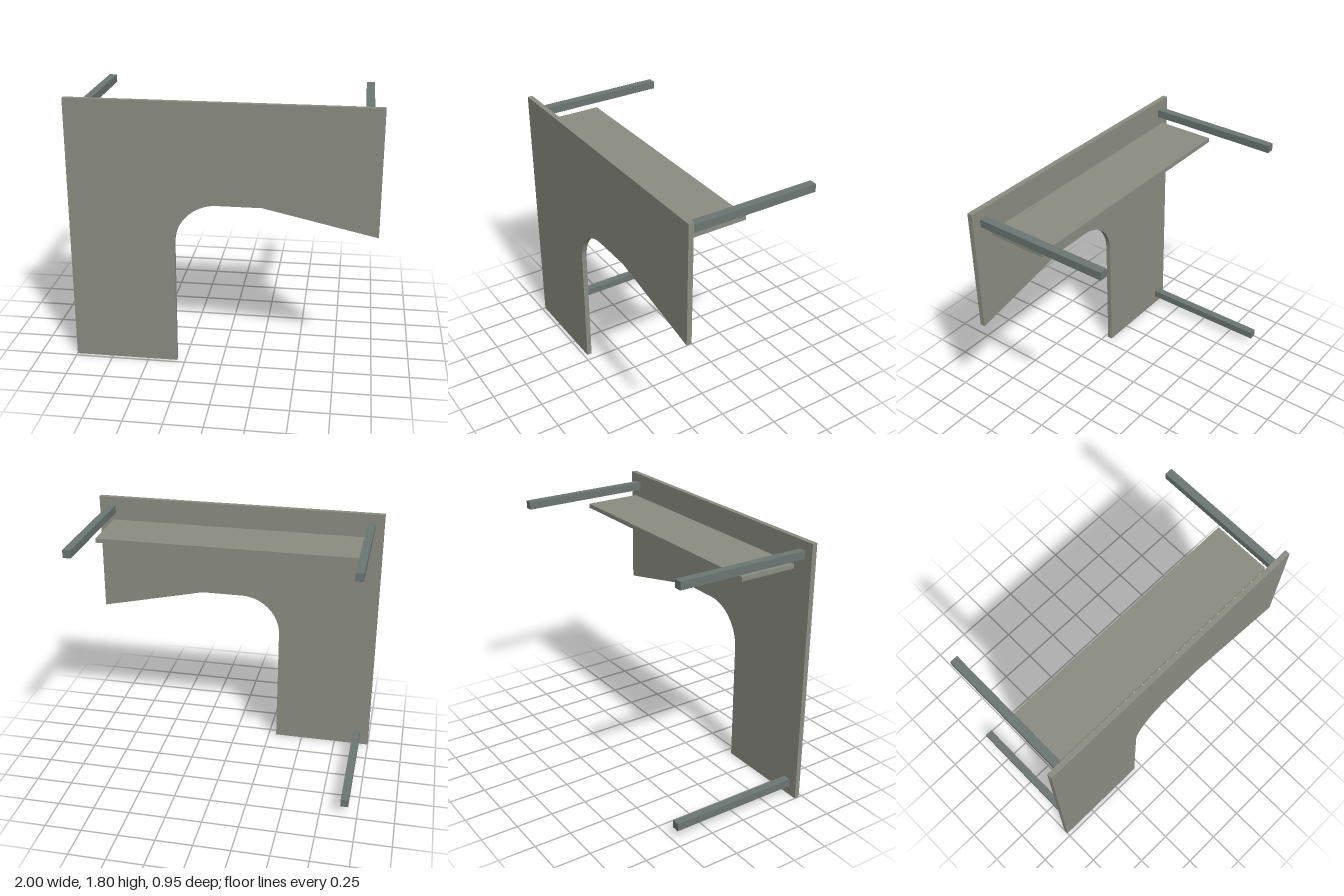
import * as THREE from 'three';

const panelMat = new THREE.MeshStandardMaterial({ color: 0x8b8d82 });
const barMat = new THREE.MeshStandardMaterial({ color: 0x6b7673 });

function box(name, mat, [w, h, d], [x, y, z]) {
  const mesh = new THREE.Mesh(new THREE.BoxGeometry(w, h, d), mat);
  mesh.name = name;
  mesh.position.set(x, y, z);
  return mesh;
}

export function createModel() {
  const group = new THREE.Group();
  group.name = 'panelWithShelf';

  // Front panel: full-height leg on one side, rounded and sloping cut-out on the other
  const outline = new THREE.Shape();
  outline.moveTo(-1, 0);
  outline.lineTo(-0.305, 0);
  outline.lineTo(-0.305, 0.85);
  outline.absarc(-0.025, 0.85, 0.28, Math.PI, Math.PI / 2, true);
  outline.lineTo(0.26, 1.13);
  outline.lineTo(1, 0.965);
  outline.lineTo(1, 1.8);
  outline.lineTo(-1, 1.8);
  outline.closePath();
  const panelGeo = new THREE.ExtrudeGeometry(outline, { depth: 0.035, bevelEnabled: false, curveSegments: 16 });
  panelGeo.translate(0, 0, 0.44);
  const panel = new THREE.Mesh(panelGeo, panelMat);
  panel.name = 'frontPanel';
  group.add(panel);

  // Shelf below the upper bars
  group.add(box('shelf', panelMat, [1.78, 0.03, 0.4], [0, 1.635, 0.2]));

  // Square bars running back from the panel
  const bars = [['upperRightBar', -0.912, 1.713], ['upperLeftBar', 0.912, 1.713], ['lowerRightBar', -0.912, 0.093]];
  for (const [name, x, y] of bars) {
    group.add(box(name, barMat, [0.053, 0.053, 0.915], [x, y, -0.0175]));
  }
  return group;
}
